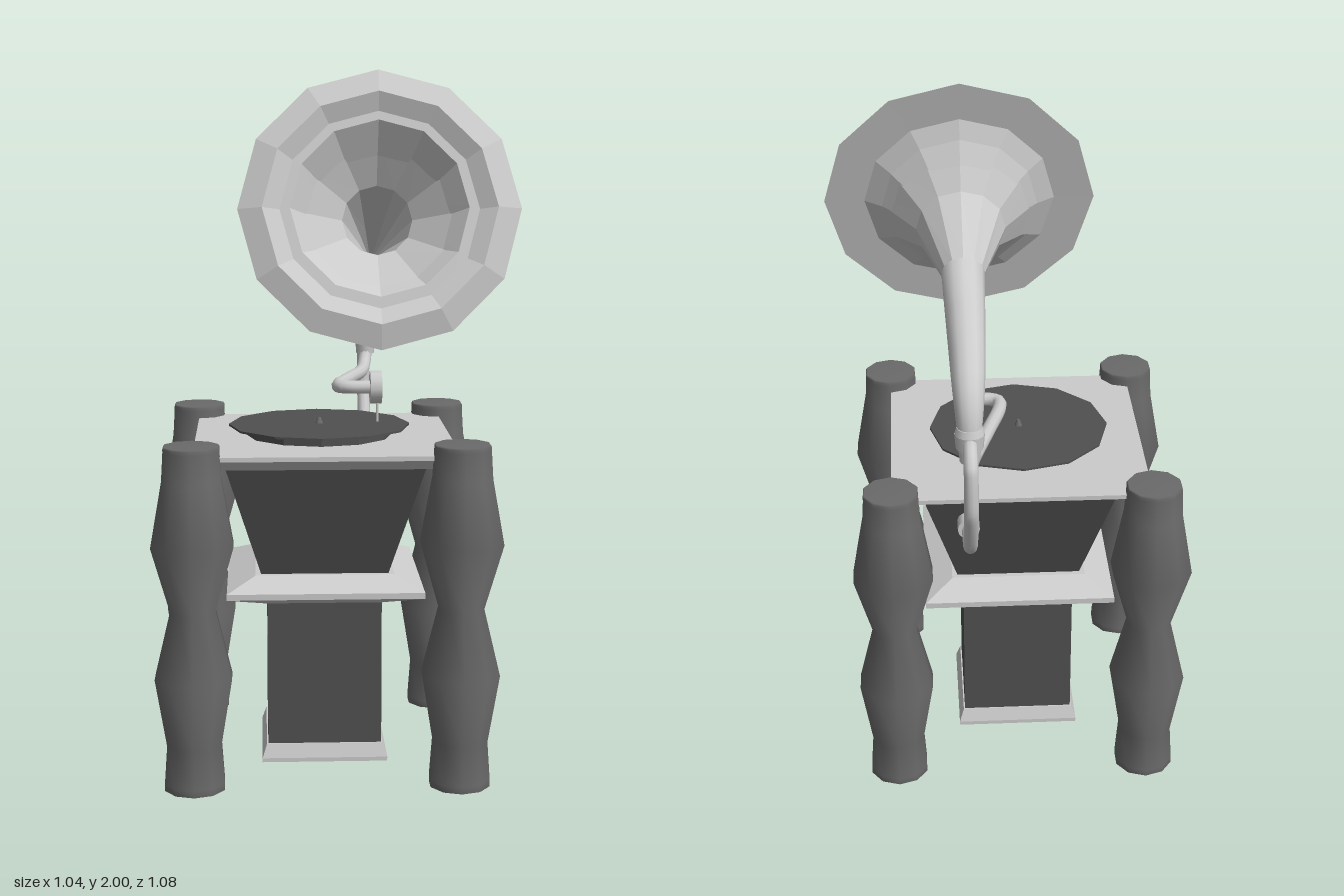
import * as THREE from 'three';

const mat = (color, flatShading = false) =>
  new THREE.MeshStandardMaterial({ color, flatShading, side: THREE.DoubleSide });
const LIGHT = 0xcccccc, DARK = 0x505050, POST = 0x6a6a6a;
const CX = -0.03, CZ = 0.045; // cabinet centre
const HX = 0.122;             // plane of the horn

const v2 = (pts) => pts.map(([r, y]) => new THREE.Vector2(r, y));
const v3 = (pts) => pts.map((p) => new THREE.Vector3(...p));

export function createModel() {
  const model = new THREE.Group();
  const add = (name, geo, material, x = 0, y = 0, z = 0) => {
    const m = new THREE.Mesh(geo, material);
    m.name = name;
    m.position.set(x, y, z);
    model.add(m);
    return m;
  };

  // Square section given as [half width, height] from bottom to top
  const square = (name, pts, color) => add(name,
    new THREE.LatheGeometry(v2(pts.map(([h, y]) => [h * Math.SQRT2, y])), 4, Math.PI / 4),
    mat(color, true), CX, 0, CZ);

  // Loft of round rings [y, z, radius, pitch], listed along the axis
  const loft = (name, rings, flat) => {
    const n = 12, pos = [], idx = [];
    for (const [y, z, r, t] of rings)
      for (let k = 0; k < n; k++) {
        const a = (k / n) * Math.PI * 2, u = r * Math.sin(a);
        pos.push(HX + r * Math.cos(a), y + u * Math.cos(t), z - u * Math.sin(t));
      }
    for (let i = 0; i < rings.length - 1; i++)
      for (let k = 0; k < n; k++) {
        const a = i * n + k, b = i * n + (k + 1) % n;
        idx.push(a, b, a + n, b, b + n, a + n);
      }
    const g = new THREE.BufferGeometry();
    g.setAttribute('position', new THREE.Float32BufferAttribute(pos, 3));
    g.setIndex(idx);
    g.computeVertexNormals();
    return add(name, g, mat(LIGHT, flat));
  };

  const tube = (name, pts, r) => add(name,
    new THREE.TubeGeometry(new THREE.CatmullRomCurve3(v3(pts), false, 'centripetal'), 40, r, 10),
    mat(LIGHT));

  // Pedestal, from the floor up
  square('foot', [[0.135, 0.01], [0.135, 0], [0.183, 0], [0.183, 0.012], [0.17, 0.052], [0.16, 0.052]], LIGHT);
  square('column', [[0, 0.003], [0.135, 0.003], [0.166, 0.05], [0.166, 0.48]], DARK);
  square('collar', [[0.16, 0.476], [0.168, 0.476], [0.282, 0.516], [0.282, 0.533], [0.2, 0.568], [0, 0.568]], LIGHT);
  square('cabinet', [[0.184, 0.568], [0.283, 0.897]], DARK);
  square('topPlate', [[0.27, 0.895], [0.3, 0.895], [0.373, 0.932], [0.373, 0.945], [0, 0.945]], LIGHT);

  // Four turned corner posts
  const post = new THREE.LatheGeometry(v2([
    [0, 0.004], [0.085, 0], [0.088, 0], [0.088, 0.02], [0.08, 0.13], [0.113, 0.325], [0.066, 0.515],
    [0.12, 0.7], [0.086, 0.885], [0.081, 0.965], [0.081, 0.975], [0.078, 0.98], [0, 0.98],
  ]), 10);
  for (const sx of [-1, 1])
    for (const sz of [-1, 1])
      add('cornerPost', post, mat(POST), CX + sx * 0.374, 0, CZ + sz * 0.374);

  // Turntable, record and spindle
  const cyl = (rt, rb, h, n) => new THREE.CylinderGeometry(rt, rb, h, n);
  const disc = (name, r, h, y) =>
    (add(name, cyl(r, r, h, 12), mat(DARK, true), -0.04, y, CZ).rotation.y = Math.PI / 2);
  disc('turntable', 0.215, 0.022, 0.956);
  disc('record', 0.266, 0.006, 0.974);
  add('spindle', cyl(0.005, 0.012, 0.02, 10), mat(POST), -0.04, 0.985, CZ);

  // Horn: smooth neck, then a faceted bell with a turned-back rim and an inner wall
  loft('hornNeck', [
    [1.21, -0.424, 0.034, 1.5], [1.24, -0.42, 0.036, 1.4], [1.277, -0.407, 0.04, 1.15],
    [1.315, -0.382, 0.044, 0.9], [1.345, -0.347, 0.047, 0.7], [1.38, -0.29, 0.05, 0.52],
    [1.44, -0.155, 0.056, 0.43], [1.504, -0.013, 0.062, 0.38],
  ], false);
  loft('hornBell', [
    [1.504, -0.013, 0.062, 0.38], [1.569, 0.16, 0.13, 0.25], [1.62, 0.27, 0.25, 0.263],
    [1.617, 0.27, 0.396, 0.263], [1.624, 0.296, 0.328, 0.263], [1.608, 0.245, 0.228, 0.263],
    [1.578, 0.15, 0.1, 0.27], [1.504, -0.013, 0.045, 0.38], [1.44, -0.155, 0.001, 0.43],
  ], true);

  // Swivel joint below the neck
  add('swivelCollar', cyl(0.036, 0.042, 0.02, 12), mat(LIGHT), HX, 1.222, -0.424);
  add('swivelCollar', cyl(0.042, 0.038, 0.045, 12), mat(LIGHT), HX, 1.19, -0.424);
  add('swivelSleeve', cyl(0.032, 0.028, 0.05, 12), mat(LIGHT), HX, 1.15, -0.422);

  // Tone arm, sound box and needle
  tube('toneArm', [
    [HX, 1.16, -0.422], [HX, 1.125, -0.412], [0.116, 1.095, -0.38], [0.105, 1.082, -0.32],
    [0.06, 1.08, -0.17], [0.02, 1.08, -0.03], [0.022, 1.08, 0.005], [0.045, 1.08, 0.02], [0.12, 1.08, 0.02],
  ], 0.02);
  add('soundBox', cyl(0.049, 0.049, 0.034, 12), mat(LIGHT), 0.128, 1.08, 0.02).rotation.z = Math.PI / 2;
  add('needle', cyl(0.005, 0.004, 0.06, 6), mat(LIGHT), 0.133, 1.007, 0.02);

  // Bracket that carries the horn from the back of the cabinet
  tube('bracket', [
    [HX, 1.19, -0.43], [HX, 1.19, -0.47], [HX, 1.15, -0.515], [HX, 1.13, -0.52], [HX, 1.02, -0.52],
    [HX, 0.99, -0.51], [HX, 0.86, -0.43], [HX, 0.82, -0.38], [HX, 0.805, -0.33], [HX, 0.805, -0.2],
  ], 0.02);
  add('bracketFlange', cyl(0.032, 0.032, 0.06, 12), mat(LIGHT), HX, 0.805, -0.235).rotation.x = Math.PI / 2;

  return model;
}
